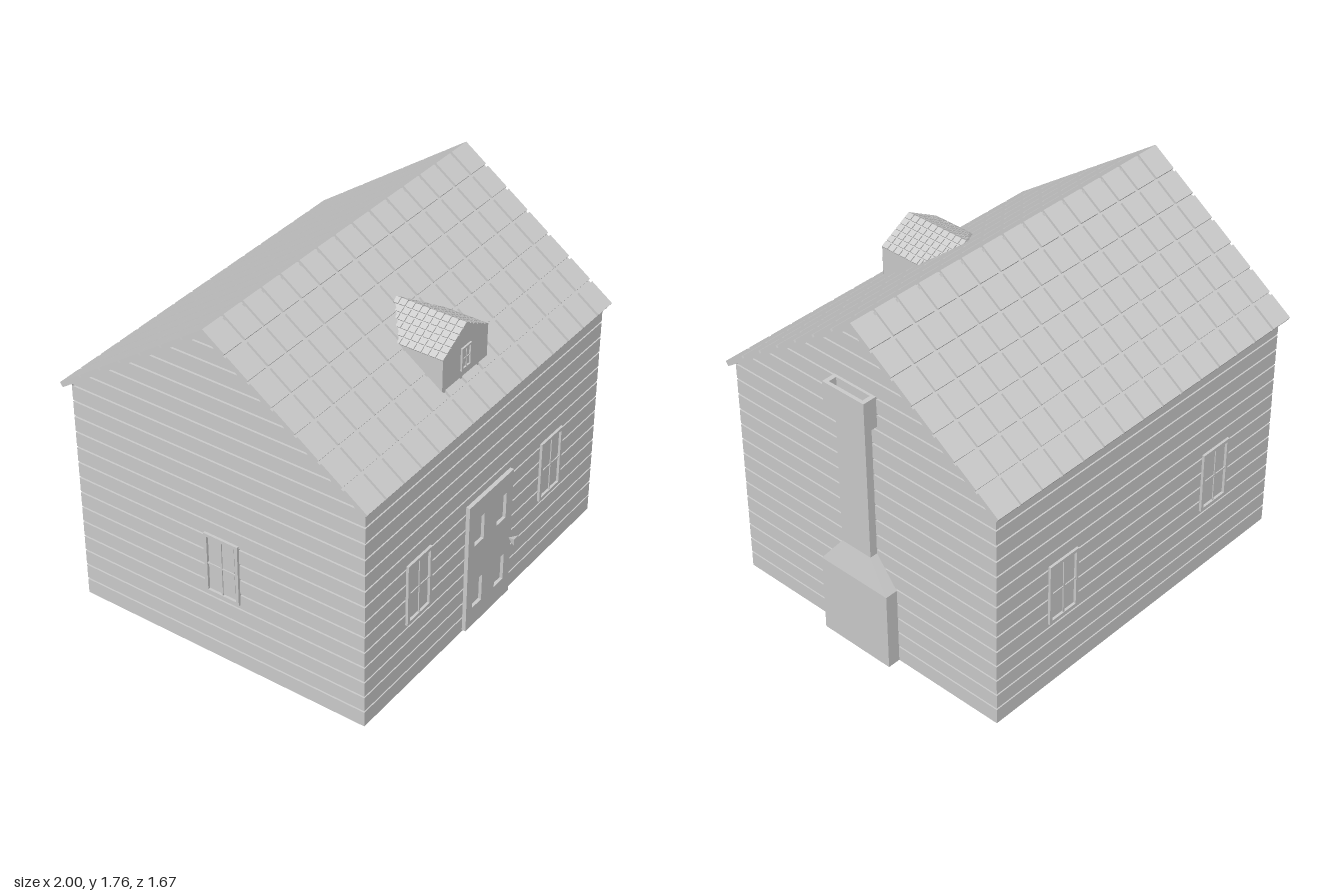
import * as THREE from 'three';
import { mergeGeometries } from 'three/addons/utils/BufferGeometryUtils.js';

const material = new THREE.MeshStandardMaterial({ color: 0xcccccc, flatShading: true });
const sheetMaterial = new THREE.MeshStandardMaterial({ color: 0xcccccc, flatShading: true, side: THREE.DoubleSide });

const WALL = { x0: -0.97, x1: 0.925, z0: -0.79, z1: 0.775 };
const PLANK = 0.0835, GROOVE = 0.009, INSET = 0.012;

function add(parent, name, geometry, x = 0, y = 0, z = 0, mat = material) {
  const mesh = new THREE.Mesh(geometry, mat);
  mesh.name = name;
  mesh.position.set(x, y, z);
  parent.add(mesh);
  return mesh;
}

function box(w, h, d, x, y, z) {
  return new THREE.BoxGeometry(w, h, d).translate(x, y, z);
}

function rectPath(PathClass, x0, y0, x1, y1) {
  return new PathClass([[x0, y0], [x1, y0], [x1, y1], [x0, y1]].map(p => new THREE.Vector2(...p)));
}

// Flat board with rectangular holes, lying in xy and extruded towards +z
function board(outer, holes, depth) {
  const shape = rectPath(THREE.Shape, ...outer);
  shape.holes = holes.map(h => rectPath(THREE.Path, ...h));
  return new THREE.ExtrudeGeometry(shape, { depth, bevelEnabled: false });
}

// Grooved plank wall facing +z; halfWidth(y) gives its outline
function plankWall(halfWidth, top) {
  const profile = [[0, 0]];
  for (let y = PLANK; y < top - 0.02; y += PLANK) {
    profile.push([y - GROOVE / 2, 0], [y - GROOVE / 2, -INSET], [y + GROOVE / 2, -INSET], [y + GROOVE / 2, 0]);
  }
  profile.push([top, 0]);
  const positions = [], index = [];
  profile.forEach(([y, d], i) => {
    const w = Math.max(halfWidth(y) + d, 0);
    positions.push(-w, y, d, w, y, d);
    const a = i * 2;
    if (i < profile.length - 1) index.push(a, a + 1, a + 3, a, a + 3, a + 2);
  });
  const geometry = new THREE.BufferGeometry();
  geometry.setAttribute('position', new THREE.Float32BufferAttribute(positions, 3));
  geometry.setIndex(index);
  geometry.computeVertexNormals();
  return geometry;
}

// One tiled slope: ridge along x, falling towards +z; end(s) is the ridge-wise length at distance s
function roofSlope(name, { end, run, drop, cols, rows, thick, gapU, gapS, sign }) {
  const length = Math.hypot(run, drop), half = thick / 2, pitchU = end(0) / cols, pitchS = length / rows;
  const outline = [[0, 0], [end(0), 0], [end(length), length], [0, length]];
  const slab = new THREE.ExtrudeGeometry(
    new THREE.Shape(outline.map(([u, s]) => new THREE.Vector2(sign * u, s))),
    { depth: half, bevelEnabled: false }).rotateX(Math.PI / 2).translate(0, -half, 0);
  const tiles = [];
  for (let r = 0; r < rows; r++) for (let c = 0; c < cols; c++) {
    const s0 = r * pitchS + (r ? gapS / 2 : 0), s1 = (r + 1) * pitchS - (r < rows - 1 ? gapS / 2 : 0);
    const u0 = c * pitchU + (c ? gapU / 2 : 0);
    const u1 = Math.min((c + 1) * pitchU - (c < cols - 1 ? gapU / 2 : 0), end((s0 + s1) / 2));
    if (u1 - u0 > 0.002) tiles.push(box(u1 - u0, half, s1 - s0, sign * (u0 + u1) / 2, -half / 2, (s0 + s1) / 2));
  }
  const slope = new THREE.Group();
  slope.name = name;
  add(slope, 'roofSlab', slab);
  add(slope, 'roofTiles', mergeGeometries(tiles));
  slope.rotation.x = Math.atan2(drop, run);
  const pivot = new THREE.Group();
  pivot.add(slope);
  return pivot;
}

// Framed window with crossing bars, centred on its own origin, facing +z
function makeWindow(name, w, h, rim, front, back) {
  const g = new THREE.Group();
  g.name = name;
  const a = w / 2, b = h / 2, i = a - rim, j = b - rim, bar = rim * 0.45;
  add(g, 'windowFrame', board([-a, -b, a, b], [[-i, -j, i, j]], front + back), 0, 0, -back);
  add(g, 'windowPane', box(2 * i - rim, 2 * j - rim, back + front * 0.4, 0, 0, (front * 0.4 - back) / 2));
  add(g, 'windowBacking', box(2 * i, 2 * j, back, 0, 0, -back / 2));
  add(g, 'windowBars', mergeGeometries([
    box(bar, 2 * j, front * 0.8, 0, 0, front * 0.4), box(2 * i, bar, front * 0.8, 0, 0, front * 0.4)]));
  return g;
}

export function createModel() {
  const house = new THREE.Group();
  house.name = 'cabin';
  const cx = (WALL.x0 + WALL.x1) / 2, cz = (WALL.z0 + WALL.z1) / 2;
  const hx = (WALL.x1 - WALL.x0) / 2, hz = (WALL.z1 - WALL.z0) / 2;

  // Plank walls, open underneath
  const longWall = plankWall(() => hx, 1.18);
  const gable = plankWall(y => Math.min(hz, (1.745 - y) / 0.71), 1.745);
  add(house, 'frontWall', longWall, cx, 0, WALL.z1, sheetMaterial);
  add(house, 'backWall', longWall, cx, 0, WALL.z0, sheetMaterial).rotation.y = Math.PI;
  add(house, 'leftGableWall', gable, WALL.x1, 0, cz, sheetMaterial).rotation.y = Math.PI / 2;
  add(house, 'rightGableWall', gable, WALL.x0, 0, cz, sheetMaterial).rotation.y = -Math.PI / 2;

  // Main roof
  for (const sign of [1, -1]) {
    const slope = roofSlope(sign > 0 ? 'frontRoof' : 'backRoof', {
      end: () => 1.955, run: 0.818, drop: 0.582, cols: 15, rows: 7, thick: 0.026, gapU: 0.018, gapS: 0.014, sign });
    slope.position.set(-1, 1.765, -0.0125);
    if (sign < 0) slope.rotation.y = Math.PI;
    house.add(slope);
  }

  // Dormer: front face, two triangular cheeks and its own tiled roof
  const dormer = new THREE.Group();
  dormer.name = 'dormer';
  dormer.position.set(-0.0575, 0, 0.655);
  house.add(dormer);
  const flat = pts => new THREE.ShapeGeometry(new THREE.Shape(pts.map(p => new THREE.Vector2(...p))));
  add(dormer, 'dormerFront', flat([[-0.176, 1.28], [0.176, 1.28], [0.176, 1.452], [0, 1.55], [-0.176, 1.452]]),
    0, 0, -0.001, sheetMaterial);
  for (const sign of [1, -1]) {
    add(dormer, 'dormerCheek', flat([[0, 1.28], [0.235, 1.452], [0, 1.452]]), sign * 0.175, 0, -0.001, sheetMaterial)
      .rotation.y = Math.PI / 2;
    const slope = roofSlope('dormerRoof', {
      end: s => 0.37 - 0.7 * s, run: 0.178, drop: 0.1, cols: 10, rows: 6, thick: 0.012, gapU: 0.006, gapS: 0.006, sign });
    slope.position.y = 1.555;
    slope.rotation.y = sign * Math.PI / 2;
    dormer.add(slope);
  }
  const dormerWindow = makeWindow('dormerWindow', 0.075, 0.115, 0.01, 0.008, 0.004);
  dormerWindow.position.y = 1.382;
  dormer.add(dormerWindow);

  // Windows: two at the front, two at the back, one in the right gable
  const places = [
    [-0.5725, WALL.z1, 0], [0.5125, WALL.z1, 0],
    [-0.545, WALL.z0, Math.PI], [0.505, WALL.z0, Math.PI],
    [WALL.x0, 0.02, -Math.PI / 2]];
  for (const [x, z, turn] of places) {
    const w = makeWindow('window', 0.185, 0.325, 0.016, 0.013, 0.014);
    w.position.set(x, 0.523, z);
    w.rotation.y = turn;
    house.add(w);
  }

  // Door with four sunken panels and a flared square knob
  const door = new THREE.Group();
  door.name = 'door';
  door.position.z = WALL.z1;
  house.add(door);
  const panels = [];
  for (const [x0, x1] of [[-0.15, -0.075], [0.032, 0.108]])
    for (const [y0, y1] of [[0.115, 0.26], [0.47, 0.61]]) panels.push([x0, y0, x1, y1]);
  add(door, 'doorLeaf', board([-0.2, 0.01, 0.162, 0.71], panels, 0.016), 0, 0, 0.004);
  add(door, 'doorBacking', box(0.362, 0.7, 0.018, -0.019, 0.36, -0.005));
  const knob = new THREE.ConeGeometry(0.027, 0.042, 4).rotateY(Math.PI / 4).rotateX(-Math.PI / 2);
  add(door, 'doorKnob', knob, 0.145, 0.33, 0.039);

  // Chimney: stepped stack, then a hollow cap
  const levels = [[0, 0.99, 0.2025], [0.41, 0.99, 0.2025], [0.56, 0.965, 0.0875], [1.29, 0.965, 0.0875]];
  const stack = new THREE.BoxGeometry(1, 1, 1, 1, 3, 1);
  const p = stack.attributes.position;
  for (let i = 0; i < p.count; i++) {
    const [y, outer, half] = levels[Math.round((p.getY(i) + 0.5) * 3)];
    p.setXYZ(i, p.getX(i) > 0 ? outer : 0.912, y, Math.sign(p.getZ(i)) * half);
  }
  stack.computeVertexNormals();
  const chimney = new THREE.Group();
  chimney.name = 'chimney';
  chimney.position.z = 0.008;
  house.add(chimney);
  add(chimney, 'chimneyStack', stack);
  const cap = board([0.915, -0.1225, 0.998, 0.1225], [[0.938, -0.1, 0.98, 0.1]], 0.155).rotateX(-Math.PI / 2);
  add(chimney, 'chimneyCap', cap, 0, 1.272, 0);
  return house;
}
